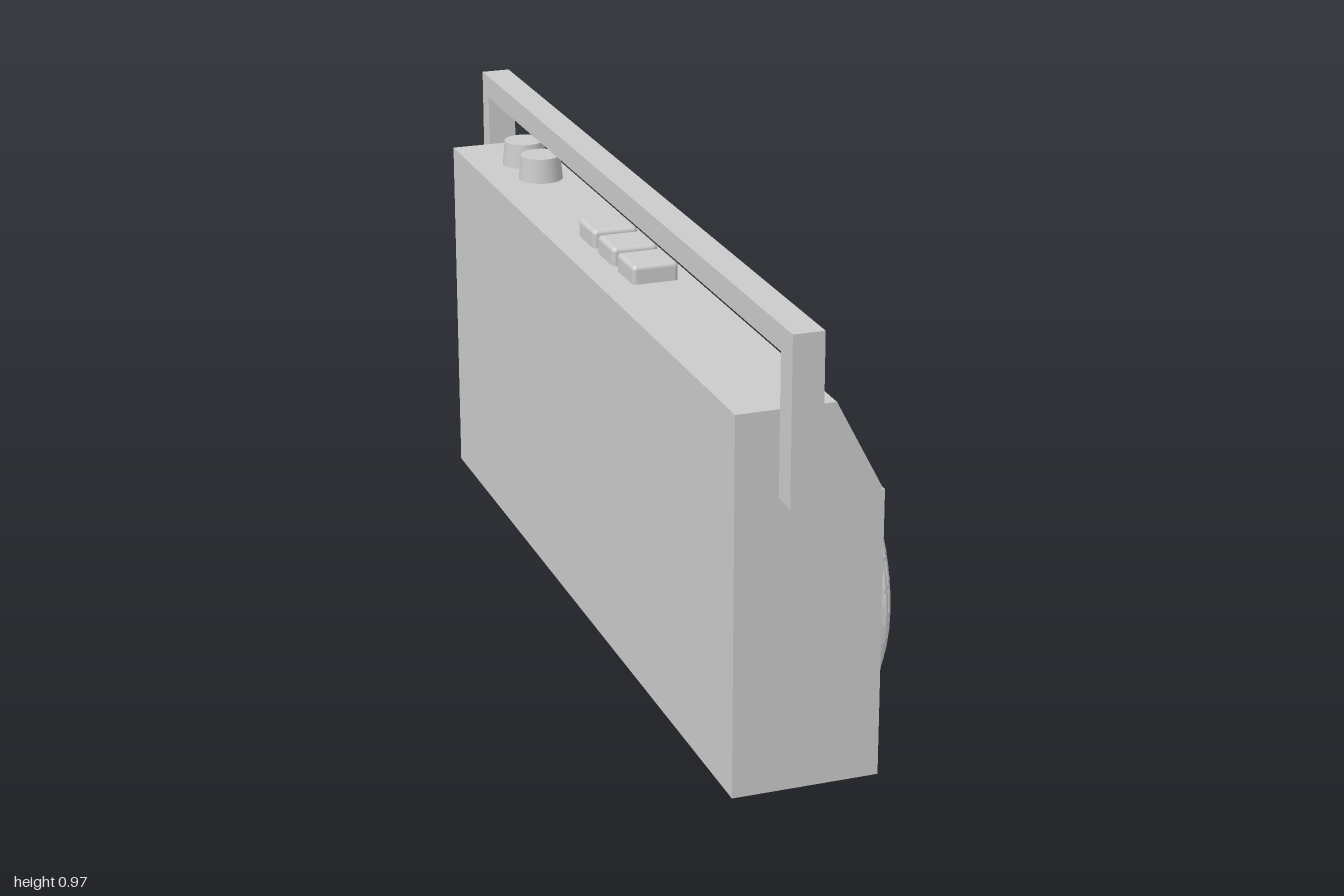
import * as THREE from 'three';
import { RoundedBoxGeometry } from 'three/addons/geometries/RoundedBoxGeometry.js';
import { mergeGeometries } from 'three/addons/utils/BufferGeometryUtils.js';

const material = new THREE.MeshStandardMaterial({ color: 0xcccccc });

function part(name, geometry, x = 0, y = 0, z = 0) {
  const mesh = new THREE.Mesh(geometry, material);
  mesh.name = name;
  mesh.position.set(x, y, z);
  return mesh;
}

const polygon = (points) => points.map(([a, b]) => new THREE.Vector2(a, b));

// Extrudes a shape drawn in (-z, y) along +x
function extrudeX(shape, depth, curveSegments = 24) {
  return new THREE.ExtrudeGeometry(shape, { depth, bevelEnabled: false, curveSegments }).rotateY(Math.PI / 2);
}

// Bulging half-ellipsoid grid of wires, poles up and down
function grilleGeometry(radius, bulge, wire, divisions) {
  const point = (lat, lon) => new THREE.Vector3(
    bulge * Math.cos(lat) * Math.cos(lon),
    radius * Math.sin(lat),
    radius * Math.cos(lat) * Math.sin(lon));
  const tube = (pointAt) => {
    const points = [];
    for (let j = 0; j <= 16; j++) points.push(pointAt((j / 16 - 0.5) * Math.PI));
    return new THREE.TubeGeometry(new THREE.CatmullRomCurve3(points), 20, wire, 5);
  };
  const wires = [];
  for (let i = 1; i < divisions; i++) {
    const angle = (i / divisions - 0.5) * Math.PI;
    wires.push(tube((t) => point(angle, t)), tube((t) => point(t, angle)));
  }
  return mergeGeometries(wires);
}

export function createModel() {
  const radio = new THREE.Group();
  radio.name = 'portableRadio';

  // Case with a sloping upper front
  const profile = new THREE.Shape(polygon([
    [-0.205, 0], [0.097, 0], [0.097, 0.615], [0, 0.8], [-0.205, 0.8],
  ]));
  radio.add(part('case',
    new THREE.ExtrudeGeometry(profile, { depth: 1.895, bevelEnabled: false }), 0, 0, -0.953));

  // Thin front panel with a recessed cassette window
  const panel = new THREE.Shape(polygon([[-0.942, 0], [0.953, 0], [0.953, 0.609], [-0.942, 0.609]]));
  panel.holes.push(new THREE.Path(polygon([
    [-0.165, 0.335], [-0.165, 0.522], [0.182, 0.522], [0.182, 0.335],
  ])));
  radio.add(part('frontPanel', extrudeX(panel, 0.006), 0.097, 0, 0));

  // Speakers: flat rim and domed wire grille
  const rim = new THREE.Shape().absarc(0, 0, 0.305, 0, Math.PI * 2);
  rim.holes.push(new THREE.Path().absarc(0, 0, 0.282, 0, Math.PI * 2, true));
  const rimGeometry = extrudeX(rim, 0.022);
  const grille = grilleGeometry(0.287, 0.093, 0.006, 16);
  for (const [side, z] of [['left', -0.618], ['right', 0.613]]) {
    const speaker = new THREE.Group();
    speaker.name = side + 'Speaker';
    speaker.position.set(0.1, 0.308, z);
    speaker.add(part('speakerRim', rimGeometry), part('speakerGrille', grille, 0.004));
    radio.add(speaker);
  }

  // Carrying handle, a square-cornered arch over the case
  const arch = new THREE.Shape(polygon([
    [-1, 0.62], [-0.942, 0.62], [-0.942, 0.915], [0.953, 0.915],
    [0.953, 0.62], [1, 0.62], [1, 0.967], [-1, 0.967],
  ]));
  radio.add(part('handle', extrudeX(arch, 0.065), -0.115, 0, 0));

  // Push buttons
  const button = new RoundedBoxGeometry(0.102, 0.08, 0.106, 2, 0.01);
  [0.112, -0.018, -0.148].forEach((z) => radio.add(part('button', button, -0.086, 0.8, z)));

  // Tapered knobs
  const knob = new THREE.CylinderGeometry(0.046, 0.052, 0.066, 32);
  [-0.645, -0.773].forEach((z) => radio.add(part('knob', knob, -0.083, 0.823, z)));

  return radio;
}
